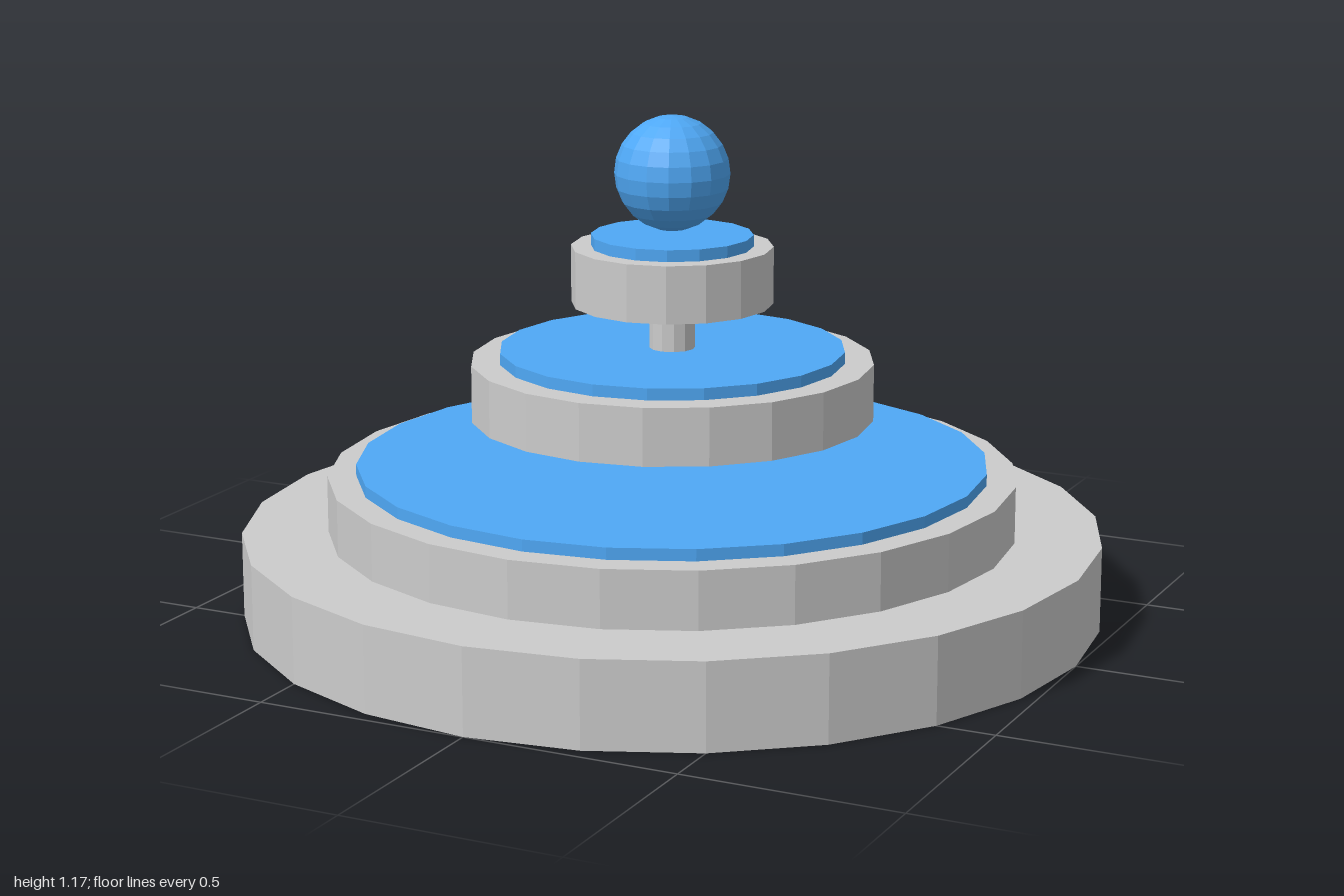
import * as THREE from 'three';

const stone = new THREE.MeshStandardMaterial({ color: 0xcccccc, flatShading: true });
const water = new THREE.MeshStandardMaterial({ color: 0x4fa8f5, flatShading: true });

export function createModel() {
  const group = new THREE.Group();

  const add = (name, geometry, material, y) => {
    const mesh = new THREE.Mesh(geometry, material);
    mesh.name = name;
    mesh.position.y = y;
    group.add(mesh);
  };
  // Upright disc between two heights
  const disc = (name, radius, bottom, top, sides, material) =>
    add(name, new THREE.CylinderGeometry(radius, radius, top - bottom, sides), material, (bottom + top) / 2);

  // Stepped base
  disc('base', 1, 0, 0.2, 24, stone);

  // Basins, each topped by a thin sheet of water
  const tiers = [
    { name: 'lower', radius: 0.8, pool: 0.733, bottom: 0.2, sides: 24 },
    { name: 'middle', radius: 0.467, pool: 0.4, bottom: 0.467, sides: 20 },
    { name: 'upper', radius: 0.233, pool: 0.187, bottom: 0.733, sides: 16 },
  ];
  for (const { name, radius, pool, bottom, sides } of tiers) {
    const rim = bottom + 0.133;
    disc(name + 'Basin', radius, bottom, rim, sides, stone);
    disc(name + 'Water', pool, rim, rim + 0.027, sides, water);
  }

  // Columns between the basins
  disc('lowerColumn', 0.053, 0.333, 0.467, 12, stone);
  disc('upperColumn', 0.053, 0.6, 0.733, 12, stone);

  // Ball at the top
  add('topBall', new THREE.SphereGeometry(0.133, 16, 12), water, 1.035);

  return group;
}
